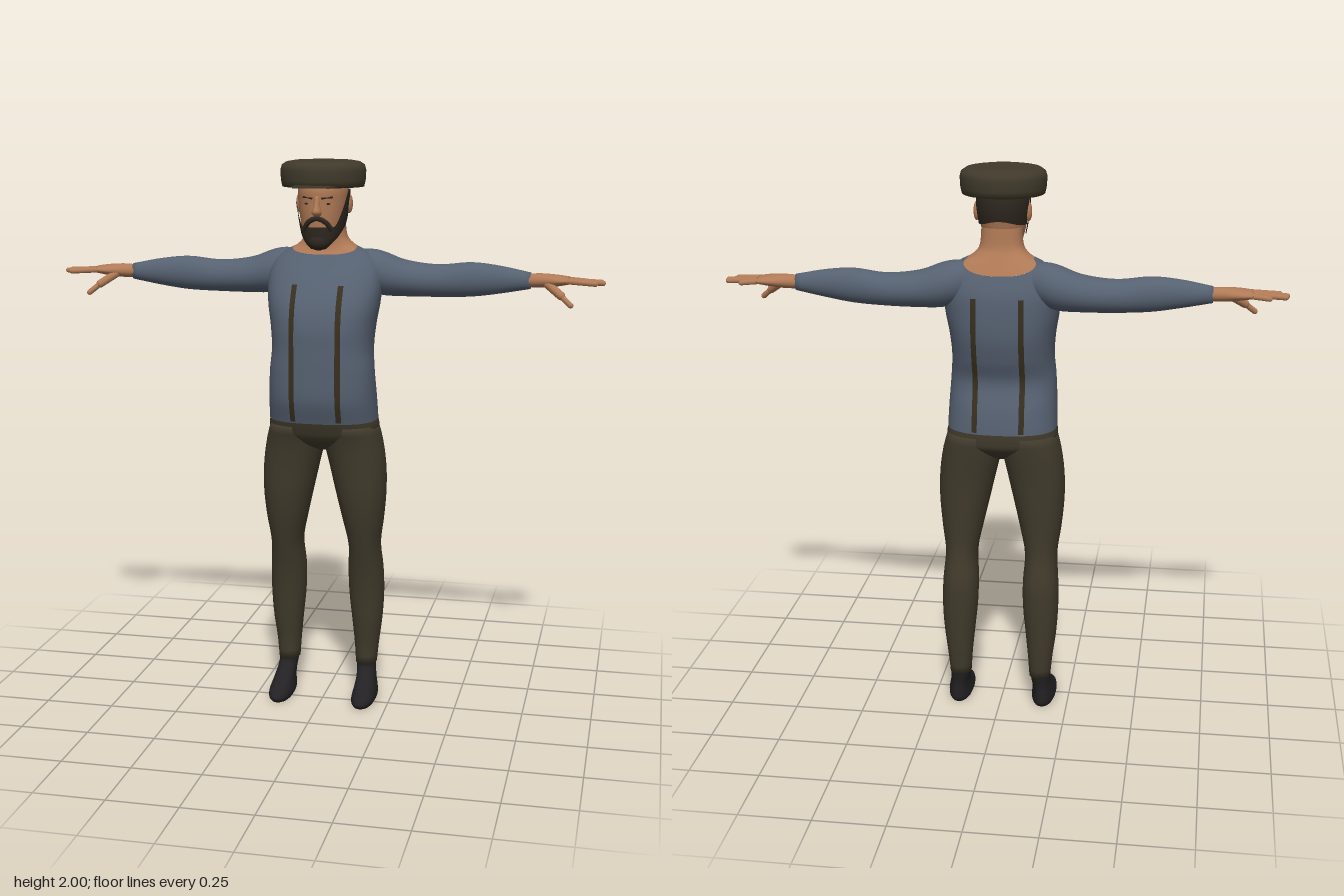
import * as THREE from 'three';
import { mergeVertices } from 'three/addons/utils/BufferGeometryUtils.js';

const material = (name, color) => Object.assign(new THREE.MeshStandardMaterial({ color }), { name });

// Smooth cubic interpolation of cross-section rows [y, x0, x1, zFront, zBack].
function section(rows, y) {
  const n = rows.length;
  let i = 0;
  while (i < n - 2 && y > rows[i + 1][0]) i++;
  const a = rows[i], b = rows[i + 1], h = b[0] - a[0];
  const t = THREE.MathUtils.clamp((y - a[0]) / h, 0, 1);
  const slope = (k, c) => {
    const p = rows[Math.max(k - 1, 0)], q = rows[Math.min(k + 1, n - 1)];
    return (q[c] - p[c]) / (q[0] - p[0]);
  };
  return [1, 2, 3, 4].map((c) =>
    a[c] * (1 + 2 * t) * (1 - t) ** 2 + b[c] * t * t * (3 - 2 * t) +
    h * (slope(i, c) * t * (1 - t) ** 2 - slope(i + 1, c) * t * t * (1 - t)));
}

// Point on a rounded cross-section; angle 0 faces the front.
function pointOn(rows, y, angle, power = 1, offset = 0, scale = 1) {
  const [x0, x1, zf, zb] = section(rows, y);
  const bend = (v) => Math.sign(v) * Math.abs(v) ** power;
  return [(x0 + x1) / 2 + ((x1 - x0) / 2 * scale + offset) * bend(Math.sin(angle)), y,
    (zf + zb) / 2 + ((zf - zb) / 2 * scale + offset) * bend(Math.cos(angle))];
}

// Grid of points from a rule of (u, v), welded and smooth.
function grid(rule, nu, nv) {
  const pos = [], index = [], w = nu + 1;
  for (let j = 0; j <= nv; j++) for (let i = 0; i <= nu; i++) pos.push(...rule(i / nu, j / nv, j));
  for (let j = 0; j < nv; j++) for (let i = 0; i < nu; i++) {
    const a = j * w + i;
    index.push(a, a + 1, a + w + 1, a, a + w + 1, a + w);
  }
  const g = new THREE.BufferGeometry();
  g.setAttribute('position', new THREE.Float32BufferAttribute(pos, 3));
  g.setIndex(index);
  const welded = mergeVertices(g, 1e-5);
  welded.computeVertexNormals();
  return welded;
}

// Skin over the rows, between two heights that may depend on the angle.
function patch(rows, lo, hi, { from = -Math.PI, to = Math.PI, offset = 0, power = 1, nu = 48, nv = 32 } = {}) {
  return grid((u, v) => {
    const angle = from + (to - from) * u;
    return pointOn(rows, THREE.MathUtils.lerp(lo(angle), hi(angle), v), angle, power, offset);
  }, nu, nv);
}

// Closed loft over all the rows.
function loft(rows, power = 1, nu = 32, nv = 32) {
  const lo = rows[0][0], hi = rows[rows.length - 1][0];
  return grid((u, v, j) => {
    const t = THREE.MathUtils.clamp((j - 1) / (nv - 2), 0, 1);
    return pointOn(rows, lo + (hi - lo) * t, (u * 2 - 1) * Math.PI, power, 0, j === 0 || j === nv ? 0 : 1);
  }, nu, nv);
}

// Rows [y, halfWidth, zFront, zBack] symmetric about x = 0.
const centred = (rows) => rows.map(([y, w, f, b]) => [y, -w, w, f, b]);
// Upright limb on one side.
const upright = (rows, s) => loft(rows.map(([y, a, b, f, k]) => (s > 0 ? [y, a, b, f, k] : [y, -b, -a, f, k])), 0.9);
// Limb reaching sideways: rows [reach, yLow, yHigh, zFront, zBack].
const sideways = (rows, s) => loft(rows.map(([d, a, b, f, k]) => (s > 0 ? [d, -b, -a, f, k] : [d, a, b, f, k])))
  .rotateZ(-s * Math.PI / 2);

function capsule(a, b, r) {
  const p = new THREE.Vector3(...a), q = new THREE.Vector3(...b), d = q.clone().sub(p);
  return new THREE.CapsuleGeometry(r, d.length(), 5, 10)
    .applyQuaternion(new THREE.Quaternion().setFromUnitVectors(new THREE.Vector3(0, 1, 0), d.clone().normalize()))
    .translate(...p.add(q).multiplyScalar(0.5).toArray());
}

const TORSO = centred([
  [1.06, 0.196, 0.11, -0.172], [1.08, 0.196, 0.117, -0.175], [1.16, 0.193, 0.143, -0.165],
  [1.26, 0.187, 0.148, -0.142], [1.34, 0.181, 0.148, -0.168], [1.42, 0.187, 0.146, -0.187],
  [1.5, 0.2, 0.125, -0.19], [1.58, 0.205, 0.078, -0.183], [1.64, 0.188, 0.035, -0.162],
  [1.68, 0.145, 0.008, -0.142], [1.7, 0.105, 0.002, -0.132], [1.73, 0.078, 0.003, -0.118],
  [1.8, 0.07, 0.01, -0.112]]);
const PELVIS = centred([[0.96, 0.04, 0.0, -0.08], [0.985, 0.11, 0.055, -0.13], [1.02, 0.185, 0.088, -0.166],
  [1.05, 0.199, 0.102, -0.173], [1.085, 0.194, 0.114, -0.173]]);
const LEG = [[0.125, 0.11, 0.188, -0.05, -0.148], [0.2, 0.105, 0.195, -0.048, -0.156], [0.3, 0.095, 0.208, -0.035, -0.162],
  [0.4, 0.085, 0.214, -0.025, -0.167], [0.5, 0.083, 0.212, -0.008, -0.166], [0.6, 0.088, 0.205, 0.018, -0.147],
  [0.7, 0.068, 0.218, 0.043, -0.146], [0.8, 0.045, 0.227, 0.06, -0.15], [0.9, 0.022, 0.226, 0.068, -0.155],
  [1.0, 0.0, 0.212, 0.08, -0.165], [1.06, 0.0, 0.195, 0.098, -0.17]];
const SHOE = [[0, 0.118, 0.196, 0.085, -0.125], [0.012, 0.113, 0.202, 0.097, -0.134], [0.03, 0.114, 0.202, 0.09, -0.136],
  [0.055, 0.118, 0.196, 0.045, -0.136], [0.08, 0.119, 0.19, -0.005, -0.136], [0.11, 0.116, 0.186, -0.045, -0.141],
  [0.14, 0.111, 0.186, -0.051, -0.147]];
const ARM = [[0.09, 1.56, 1.675, -0.04, -0.14], [0.15, 1.535, 1.685, -0.02, -0.168], [0.2, 1.52, 1.677, -0.016, -0.176],
  [0.28, 1.517, 1.648, -0.026, -0.17], [0.4, 1.518, 1.634, -0.038, -0.155], [0.52, 1.523, 1.645, -0.037, -0.138],
  [0.62, 1.537, 1.636, -0.04, -0.12], [0.73, 1.557, 1.615, -0.05, -0.1]];
const PALM = [[0.7, 1.565, 1.608, -0.053, -0.097], [0.76, 1.563, 1.613, -0.043, -0.105],
  [0.82, 1.569, 1.61, -0.025, -0.116], [0.865, 1.577, 1.604, -0.026, -0.117]];
const HEAD = centred([[1.695, 0.025, 0.075, 0.03], [1.715, 0.045, 0.085, 0.0], [1.74, 0.062, 0.088, -0.05],
  [1.78, 0.075, 0.091, -0.1], [1.82, 0.082, 0.094, -0.115], [1.86, 0.087, 0.095, -0.124],
  [1.9, 0.088, 0.096, -0.124], [1.94, 0.08, 0.08, -0.11]]);
const NOSE = centred([[1.811, 0.012, 0.106, 0.07], [1.822, 0.018, 0.122, 0.07], [1.84, 0.013, 0.115, 0.07],
  [1.88, 0.009, 0.099, 0.07]]);

export function createModel() {
  const model = new THREE.Group();
  model.name = 'standingMan';
  const shirt = material('shirtBlue', 0x566171), olive = material('oliveCloth', 0x403a2b);
  const skin = material('skin', 0xb07a56), hair = material('darkHair', 0x2e271f);
  const black = material('shoeBlack', 0x232123), strapCloth = material('strapBrown', 0x38301f);
  const add = (name, geometry, mat) => {
    const mesh = new THREE.Mesh(geometry, mat);
    mesh.name = name;
    model.add(mesh);
    return mesh;
  };

  // Shirt body with a scooped collar, and the neck above it
  const collar = (t) => 1.695 - (Math.cos(t) > 0 ? 0.025 : 0.05) * Math.cos(t) ** 2;
  add('shirtBody', patch(TORSO, () => 1.078, collar, { power: 0.8, nu: 64, nv: 48 }), shirt);
  add('neck', patch(TORSO, collar, () => 1.8, { power: 0.8, nv: 16 }), skin);
  add('pelvis', loft(PELVIS, 0.8), olive);

  // Straps that follow the shirt, front and back
  for (const s of [-1, 1]) for (const face of [1, -1]) {
    add(face > 0 ? 'frontStrap' : 'backStrap', grid((u, v) => {
      const y = 1.085 + 0.485 * v, x = s * 0.083 + face * (u - 0.5) * 0.019;
      const a = Math.asin(Math.abs(x / section(TORSO, y)[1]) ** (1 / 0.8));
      return [x, y, pointOn(TORSO, y, face > 0 ? a : Math.PI - a, 0.8)[2] + face * 0.004];
    }, 2, 40), strapCloth);
  }

  // Limbs
  for (const s of [-1, 1]) {
    const side = s > 0 ? 'left' : 'right';
    add(side + 'TrouserLeg', upright(LEG, s), olive);
    add(side + 'Shoe', upright(SHOE, s), black);
    add(side + 'Sleeve', sideways(ARM, s), shirt);
    add(side + 'Palm', sideways(PALM, s), skin);
    [[-0.036, 0.955, -0.028], [-0.06, 0.98, -0.058], [-0.084, 0.975, -0.084], [-0.106, 0.92, -0.112]]
      .forEach(([z, x, tz]) => add(side + 'Finger', capsule([s * 0.85, 1.591, z], [s * x, 1.585, tz], 0.0095), skin));
    add(side + 'Thumb', capsule([s * 0.79, 1.578, -0.05], [s * 0.84, 1.543, -0.012], 0.015), skin);
    add(side + 'ThumbTip', capsule([s * 0.84, 1.543, -0.012], [s * 0.875, 1.513, 0.006], 0.01), skin);

    // Ear, eye and brow
    add(side + 'Ear', new THREE.SphereGeometry(1, 16, 12).scale(0.012, 0.034, 0.02)
      .translate(s * 0.09, 1.848, -0.032), skin);
    add(side + 'Eye', new THREE.SphereGeometry(1, 12, 8).scale(0.012, 0.004, 0.004)
      .translate(s * 0.034, 1.853, 0.084), hair);
    add(side + 'Brow', capsule([s * 0.018, 1.872, 0.092], [s * 0.05, 1.875, 0.077], 0.004), hair);
  }

  // Head, beard and hair
  add('head', loft(HEAD, 0.95), skin);
  add('nose', loft(NOSE, 1, 16, 12), skin);
  const { smoothstep } = THREE.MathUtils;
  add('beard', patch(HEAD, (t) => 1.695 + 0.075 * smoothstep(Math.abs(t), 0.9, 1.75),
    (t) => 1.772 + 0.128 * smoothstep(Math.abs(t), 0.75, 1.5),
    { from: -1.75, to: 1.75, offset: 0.006, power: 0.95, nv: 16 }), hair);
  add('chinBeard', new THREE.SphereGeometry(1, 20, 14).scale(0.038, 0.032, 0.032).translate(0, 1.722, 0.066), hair);
  add('moustache', new THREE.TubeGeometry(new THREE.CatmullRomCurve3(
    [[-0.05, 1.762, 0.077], [-0.03, 1.79, 0.092], [0, 1.803, 0.099], [0.03, 1.79, 0.092], [0.05, 1.762, 0.077]]
      .map((p) => new THREE.Vector3(...p))), 24, 0.009, 8), hair);
  add('backHair', patch(HEAD, (t) => 1.805 + 0.02 * Math.abs(Math.cos(t)) ** 4, () => 1.935,
    { from: 1.8, to: 2 * Math.PI - 1.8, offset: 0.006, power: 0.95, nv: 12 }), hair);

  // Flat cap, open underneath, with a thin peak
  const profile = [[0.085, 1.955], [0.105, 1.93], [0.115, 1.911], [0.144, 1.908], [0.149, 1.93], [0.151, 1.965],
    [0.146, 1.983], [0.13, 1.994], [0.1, 1.999], [0, 2]].map((p) => new THREE.Vector2(...p));
  add('cap', new THREE.LatheGeometry(profile, 48).translate(0, 0, -0.013), olive);
  const peak = new THREE.Shape([[-0.077, -0.09], [0.077, -0.09], [0.065, -0.19], [-0.065, -0.19]]
    .map((p) => new THREE.Vector2(...p)).reverse());
  add('capPeak', new THREE.ExtrudeGeometry(peak, { depth: 0.006, bevelEnabled: false })
    .rotateX(-Math.PI / 2).translate(0, 1.911, 0), olive);
  return model;
}
